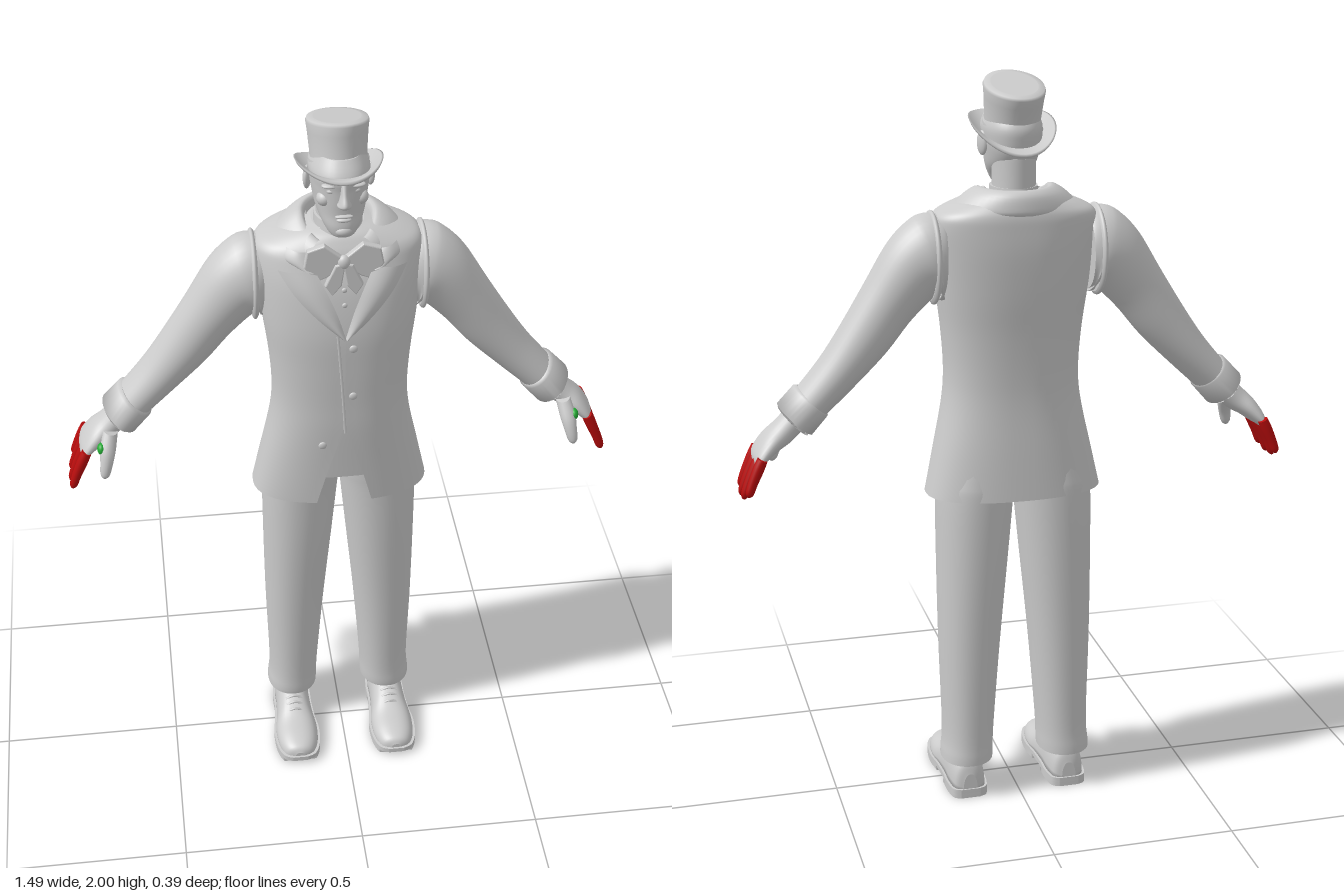
import * as THREE from 'three';

const mat = (color) => new THREE.MeshStandardMaterial({ color, side: THREE.DoubleSide });
const grey = mat(0xcccccc), red = mat(0xb80c0c), green = mat(0x22aa33);
const TAU = Math.PI * 2;

function add(parent, name, geo, material = grey) {
  const m = new THREE.Mesh(geo, material);
  m.name = name;
  parent.add(m);
  return m;
}

// Catmull-Rom resampling of rows of numbers
function smooth(rows, sub = 5) {
  const out = [], at = (i) => rows[Math.min(Math.max(i, 0), rows.length - 1)];
  for (let i = 0; i < rows.length - 1; i++)
    for (let k = 0; k < sub; k++) {
      const t = k / sub, [a, b, c, d] = [at(i - 1), at(i), at(i + 1), at(i + 2)];
      out.push(b.map((v, j) => v + 0.5 * t * (c[j] - a[j] + t * (2 * a[j] - 5 * v + 4 * c[j] - d[j]
        + t * (3 * (v - c[j]) + d[j] - a[j])))));
    }
  out.push(at(rows.length - 1));
  return out;
}

// Skin over rings of [x, y, z] points, with optional flat caps
function loft(rings, { closed = true, caps = true } = {}) {
  const pos = rings.flat(2), idx = [], n = rings[0].length;
  for (let i = 0; i < rings.length - 1; i++)
    for (let j = 0; j < (closed ? n : n - 1); j++) {
      const a = i * n + j, b = i * n + (j + 1) % n;
      idx.push(a, b, b + n, a, b + n, a + n);
    }
  if (closed && caps) [rings[0], rings[rings.length - 1]].forEach((ring, end) => {
    const base = pos.length / 3;
    pos.push(...ring.flat(), ...[0, 1, 2].map((k) => ring.reduce((s, p) => s + p[k], 0) / n));
    for (let j = 0; j < n; j++) {
      const a = base + j, b = base + (j + 1) % n;
      idx.push(base + n, end ? a : b, end ? b : a);
    }
  });
  const g = new THREE.BufferGeometry();
  g.setAttribute('position', new THREE.Float32BufferAttribute(pos, 3));
  g.setIndex(idx);
  g.computeVertexNormals();
  return g;
}

// Horizontal superellipse point; t = 0 is the front
const spow = (v, e) => Math.sign(v) * Math.abs(v) ** e;
const oval = (t, y, w, zb, zf, p = 2, cx = 0) => [
  cx + w * spow(Math.sin(t), 2 / p), y, (zb + zf) / 2 + (zf - zb) / 2 * spow(Math.cos(t), 2 / p)];
const ring = (fn, n = 40) => Array.from({ length: n }, (_, j) => fn(j / n * TAU));
// Upright body from rows of [y, halfWidth, zBack, zFront, centreX]
const stack = (rows, p = 2, n = 40) =>
  loft(smooth(rows).map(([y, w, zb, zf, cx = 0]) => ring((t) => oval(t, y, w, zb, zf, p, cx), n)));

// Limb along a path of rows [x, y, z, radius in plane, radius in z]
function limb(rows, n = 24, sub = 5) {
  const r = smooth(rows, sub);
  return loft(r.map(([x, y, z, a, b], i) => {
    const p = r[Math.max(i - 1, 0)], q = r[Math.min(i + 1, r.length - 1)];
    const l = Math.hypot(q[0] - p[0], q[1] - p[1]), nx = -(q[1] - p[1]) / l, ny = (q[0] - p[0]) / l;
    return ring((t) => [x + nx * a * Math.cos(t), y + ny * a * Math.cos(t), z + b * Math.sin(t)], n);
  }));
}

function blob(parent, name, [x, y, z], [a, b, c], material) {
  const m = add(parent, name, new THREE.SphereGeometry(1, 20, 14), material);
  m.position.set(x, y, z);
  m.scale.set(a, b, c);
  return m;
}

// Jacket profile: [y, halfWidth, zBack, zFront, half width of the front opening]
const P = 2.4;
const coat = smooth([
  [0.885, 0.24, -0.18, 0.085, 0.075], [1.0, 0.215, -0.172, 0.092, 0.045], [1.13, 0.188, -0.163, 0.1, 0.008],
  [1.22, 0.181, -0.163, 0.102, 0], [1.33, 0.188, -0.17, 0.105, 0], [1.44, 0.202, -0.182, 0.105, 0],
  [1.55, 0.214, -0.19, 0.09, 0.045], [1.62, 0.219, -0.19, 0.068, 0.08], [1.65, 0.21, -0.188, 0.056, 0.09],
  [1.67, 0.175, -0.182, 0.045, 0.095], [1.69, 0.12, -0.17, 0.03, 0.08], [1.7, 0.08, -0.15, 0.01, 0.05]]);
function front(x, y) {
  const i = Math.max(1, coat.findIndex((r) => r[0] >= y)), a = coat[i - 1], b = coat[i];
  const [, w, zb, zf] = a.map((v, k) => v + (b[k] - v) * (y - a[0]) / (b[0] - a[0]));
  return (zb + zf) / 2 + (zf - zb) / 2 * Math.max(0, 1 - Math.abs(x / w) ** P) ** (1 / P);
}

// Padded cloth strip lying on the chest between two edges of [x, y] points
function strip(inner, outer, lift, sub = 5) {
  const o = smooth(outer, sub);
  return loft(smooth(inner, sub).map((p, i) => Array.from({ length: 9 }, (_, j) => {
    const v = j / 8, x = p[0] + (o[i][0] - p[0]) * v, y = p[1] + (o[i][1] - p[1]) * v;
    return [x, y, front(x, y) + lift * Math.sin(Math.PI * (0.1 + 0.8 * v))];
  })), { closed: false });
}

function buildTorso(g) {
  add(g, 'jacket', loft(coat.map(([y, w, zb, zf, gap]) => {
    const t0 = Math.asin(Math.min(1, (Math.max(gap, 0) / w) ** (P / 2)));
    return Array.from({ length: 65 }, (_, j) => oval(t0 + (TAU - 2 * t0) * j / 64, y, w, zb, zf, P));
  }), { closed: false }));
  add(g, 'waistcoat', loft(coat.filter((r) => r[0] > 0.97).map(([y, w, zb, zf]) =>
    ring((t) => oval(t, y - 0.008, w - 0.012, zb + 0.012, zf - 0.012, P), 48))));
  // Front closing edge and buttons
  const edge = [1.44, 1.37, 1.3, 1.22, 1.13].map((y, i) =>
    new THREE.Vector3(-0.02 + 0.005 * i, y, front(0, y)));
  add(g, 'frontEdge', new THREE.TubeGeometry(new THREE.CatmullRomCurve3(edge), 24, 0.004, 6));
  for (const [x, y] of [[0.02, 1.4], [0.02, 1.25], [-0.06, 1.09]])
    blob(g, 'button', [x, y, front(x, y) + 0.002], [0.011, 0.011, 0.005]);
  for (const y of [1.52, 1.56]) blob(g, 'waistcoatButton', [0, y, front(0, y) - 0.009], [0.007, 0.007, 0.004]);
  // Rolled collar around the neck
  const roll = smooth([[0.078, 0.085, 1.66], [0.09, 0.1, 1.715], [0.125, 0.125, 1.705], [0.165, 0.133, 1.668], [0.16, 0.128, 1.655]]);
  add(g, 'collar', loft(roll.map(([rx, rz, y]) => Array.from({ length: 41 }, (_, j) => {
    const t = 0.65 + (TAU - 1.3) * j / 40;
    return [rx * Math.sin(t), y - 0.05 * Math.max(0, Math.cos(t)), -0.06 + rz * Math.cos(t)];
  })), { closed: false }));
  add(g, 'shirtCollar', stack([[1.62, 0.07, -0.14, 0.03], [1.68, 0.064, -0.135, 0.02], [1.715, 0.062, -0.13, 0.012]]));
  // Lapels and bow tie
  for (const s of [1, -1]) {
    const side = new THREE.Group();
    side.name = s > 0 ? 'leftLapelAndBow' : 'rightLapelAndBow';
    side.scale.x = s;
    g.add(side);
    add(side, 'lapel', strip([[0, 1.435], [0.02, 1.5], [0.045, 1.56], [0.075, 1.62]],
      [[0.005, 1.43], [0.07, 1.49], [0.125, 1.55], [0.165, 1.61]], 0.014));
    add(side, 'upperLapel', strip([[0.07, 1.61], [0.085, 1.64], [0.095, 1.66]],
      [[0.12, 1.625], [0.145, 1.64], [0.14, 1.665]], 0.014));
    const wing = new THREE.Shape([[0.008, 1.65], [0.05, 1.685], [0.09, 1.672], [0.098, 1.63], [0.07, 1.59], [0.045, 1.6], [0.008, 1.628]]
      .map((p) => new THREE.Vector2(...p)));
    const tail = new THREE.Shape([[0, 1.635], [0.02, 1.63], [0.045, 1.575], [0.03, 1.55], [0.01, 1.575]]
      .map((p) => new THREE.Vector2(...p)));
    const bevel = { depth: 0.008, bevelSize: 0.004, bevelThickness: 0.006, bevelSegments: 3 };
    add(side, 'bowWing', new THREE.ExtrudeGeometry(wing, bevel)).position.z = 0.06;
    add(side, 'bowTail', new THREE.ExtrudeGeometry(tail, bevel)).position.z = 0.066;
  }
  blob(g, 'bowKnot', [0, 1.638, 0.07], [0.017, 0.02, 0.014]);
}

function buildHead(g) {
  add(g, 'neck', stack([[1.66, 0.058, -0.13, 0], [1.72, 0.056, -0.13, 0.005], [1.79, 0.058, -0.13, 0.01]]));
  add(g, 'head', stack([[1.703, 0.016, 0.025, 0.058], [1.71, 0.034, -0.01, 0.068], [1.735, 0.05, -0.05, 0.072],
    [1.765, 0.063, -0.105, 0.069], [1.8, 0.07, -0.135, 0.071], [1.835, 0.075, -0.145, 0.072],
    [1.87, 0.076, -0.145, 0.073], [1.91, 0.06, -0.12, 0.045]], 2.2));
  add(g, 'nose', stack([[1.792, 0.01, 0.05, 0.076], [1.802, 0.018, 0.05, 0.098], [1.813, 0.014, 0.05, 0.106],
    [1.835, 0.009, 0.05, 0.092], [1.86, 0.009, 0.05, 0.077]], 2, 20));
  blob(g, 'upperLip', [0, 1.768, 0.069], [0.023, 0.005, 0.008]);
  blob(g, 'lowerLip', [0, 1.758, 0.068], [0.019, 0.006, 0.009]);
  blob(g, 'chin', [0, 1.724, 0.062], [0.022, 0.015, 0.015]);
  for (const s of [1, -1]) {
    blob(g, 'eye', [s * 0.03, 1.835, 0.058], [0.012, 0.007, 0.008]);
    blob(g, 'brow', [s * 0.032, 1.851, 0.058], [0.023, 0.006, 0.014]);
    blob(g, 'cheek', [s * 0.045, 1.805, 0.035], [0.02, 0.02, 0.022]);
    blob(g, 'ear', [s * 0.079, 1.823, -0.045], [0.01, 0.032, 0.02]).rotation.y = s * 0.35;
  }
  // Hat, tipped back
  const hat = new THREE.Group();
  hat.name = 'hat';
  hat.position.set(0, 1.845, -0.037);
  hat.rotation.x = -0.245;
  g.add(hat);
  const flat = (y, w, d) => ring((t) => oval(t, y, w, -d, d), 48);
  add(hat, 'crown', loft([[0, 0.072, 0.092], [0.05, 0.072, 0.092], [0.1, 0.076, 0.099], [0.124, 0.079, 0.103],
    [0.131, 0.076, 0.1], [0.133, 0.06, 0.082]].map((r) => flat(...r))));
  add(hat, 'hatBand', loft([[0.004, 0.074, 0.094], [0.006, 0.076, 0.096], [0.032, 0.076, 0.096], [0.034, 0.073, 0.093]]
    .map((r) => flat(...r)), { caps: false }));
  const brim = [[0.07, 0.09, -0.006], [0.09, 0.125, -0.006], [0.106, 0.152, -0.005], [0.111, 0.157, 0], [0.106, 0.152, 0.005],
    [0.09, 0.125, 0.002], [0.07, 0.09, 0.002]];
  add(hat, 'brim', loft(brim.map(([w, d, y]) => ring((t) =>
    oval(t, y + 0.034 * ((w - 0.07) / 0.041) ** 1.5 * Math.sin(t) ** 2, w, -d, d), 48)), { caps: false }));
}

function buildArm(g) {
  const z = -0.07;
  add(g, 'sleeve', limb([[0.195, 1.538, z, 0.105, 0.088], [0.225, 1.536, z, 0.117, 0.097], [0.268, 1.512, z, 0.095, 0.092],
    [0.335, 1.43, z, 0.078, 0.08], [0.4, 1.34, z - 0.003, 0.07, 0.074], [0.475, 1.25, z - 0.005, 0.058, 0.07],
    [0.555, 1.165, z - 0.003, 0.05, 0.068]], 36));
  add(g, 'armholeSeam', limb([[0.212, 1.536, z, 0.114, 0.096], [0.217, 1.536, z, 0.122, 0.103],
    [0.223, 1.536, z, 0.122, 0.103], [0.228, 1.536, z, 0.112, 0.094]], 36, 2));
  add(g, 'cuff', limb([[0.543, 1.18, z, 0.05, 0.066], [0.547, 1.176, z, 0.058, 0.077], [0.59, 1.129, z, 0.059, 0.08],
    [0.595, 1.124, z, 0.052, 0.072], [0.588, 1.131, z, 0.042, 0.06]], 32, 1));
  add(g, 'hand', limb([[0.575, 1.145, z, 0.034, 0.042], [0.62, 1.1, z, 0.034, 0.048], [0.655, 1.073, z, 0.029, 0.062],
    [0.685, 1.042, z - 0.002, 0.021, 0.07], [0.694, 1.025, z - 0.003, 0.012, 0.064]], 28));
  [-0.013, -0.054, -0.096, -0.137].forEach((fz, i) => {
    const k = [0.93, 1, 0.96, 0.8][i];
    add(g, 'finger', limb([[0, 0, 0.014, 0.015], [0.014, -0.03, 0.015, 0.015], [0.034, -0.075, 0.013, 0.013],
      [0.046, -0.108, 0.011, 0.011], [0.05, -0.12, 0.004, 0.004]].map(([x, y, a, b]) =>
      [0.686 + x * k, 1.045 + y * k, fz + (fz - z) * 0.1 * (y / -0.12), a, b]), 14, 4), red);
  });
  add(g, 'thumb', limb([[0.618, 1.1, -0.03, 0.02, 0.025], [0.628, 1.06, 0.002, 0.021, 0.021], [0.635, 1.025, 0.02, 0.017, 0.016],
    [0.641, 0.997, 0.027, 0.013, 0.013], [0.644, 0.986, 0.029, 0.005, 0.005]], 16));
  blob(g, 'thumbWeb', [0.645, 1.062, 0.0], [0.012, 0.017, 0.017], green);
}

function buildLeg(g) {
  const rows = [[0.105, 0.068, 0.212, -0.162, 0.012], [0.125, 0.067, 0.211, -0.162, 0.014], [0.2, 0.064, 0.206, -0.16, 0.016],
    [0.45, 0.044, 0.212, -0.165, 0.032], [0.7, 0.02, 0.214, -0.17, 0.05], [0.88, 0.003, 0.213, -0.17, 0.06],
    [0.94, -0.002, 0.205, -0.165, 0.064], [1.05, -0.002, 0.175, -0.15, 0.07]];
  add(g, 'trouserLeg', stack(rows.map(([y, a, b, zb, zf]) => [y, (b - a) / 2, zb, zf, (a + b) / 2]), 2.15));
  // Shoe rows run heel to toe: [z, halfWidth, height]
  const cx = 0.143;
  const shoe = smooth([[-0.142, 0.02, 0.05], [-0.128, 0.042, 0.09], [-0.08, 0.05, 0.105], [-0.03, 0.05, 0.1], [0.03, 0.054, 0.078],
    [0.08, 0.061, 0.054], [0.14, 0.057, 0.045], [0.18, 0.041, 0.034], [0.193, 0.015, 0.018]]);
  add(g, 'shoe', loft(shoe.map(([z, w, h]) => Array.from({ length: 21 }, (_, j) => {
    const t = j / 20 * Math.PI;
    return [cx + w * spow(Math.cos(t), 0.85), 0.02 + h * Math.sin(t) ** 0.85, z];
  }))));
  const slab = (name, zMin, zMax, y0, y1) => {
    const rim = shoe.filter((r) => r[0] >= zMin && r[0] <= zMax).map(([z, w]) => [w + 0.006, z * 1.03]);
    const pts = [...rim.slice().reverse(), ...rim.map(([w, z]) => [-w, z])];
    const at = (y) => pts.map(([x, z]) => [cx + x, y, z]);
    add(g, name, loft([at(y0), at(y1)]));
  };
  slab('sole', -1, 1, 0.012, 0.026);
  slab('soleTread', 0.02, 0.18, 0.002, 0.014);
  slab('heel', -1, -0.035, 0, 0.014);
  // Laces over the instep
  for (const [z, y] of [[0.02, 0.102], [0.038, 0.094], [0.056, 0.084]]) {
    const c = new THREE.CatmullRomCurve3([[-0.024, -0.008], [0, 0.002], [0.024, -0.008]].map(([x, d]) => new THREE.Vector3(cx + x, y + d, z)));
    add(g, 'lace', new THREE.TubeGeometry(c, 8, 0.004, 6));
  }
}

export function createModel() {
  const model = new THREE.Group();
  model.name = 'gentleman';
  buildTorso(model);
  buildHead(model);
  for (const s of [1, -1]) {
    const limbs = new THREE.Group();
    limbs.name = s > 0 ? 'leftLimbs' : 'rightLimbs';
    limbs.scale.x = s;
    buildArm(limbs);
    buildLeg(limbs);
    model.add(limbs);
  }
  return model;
}
